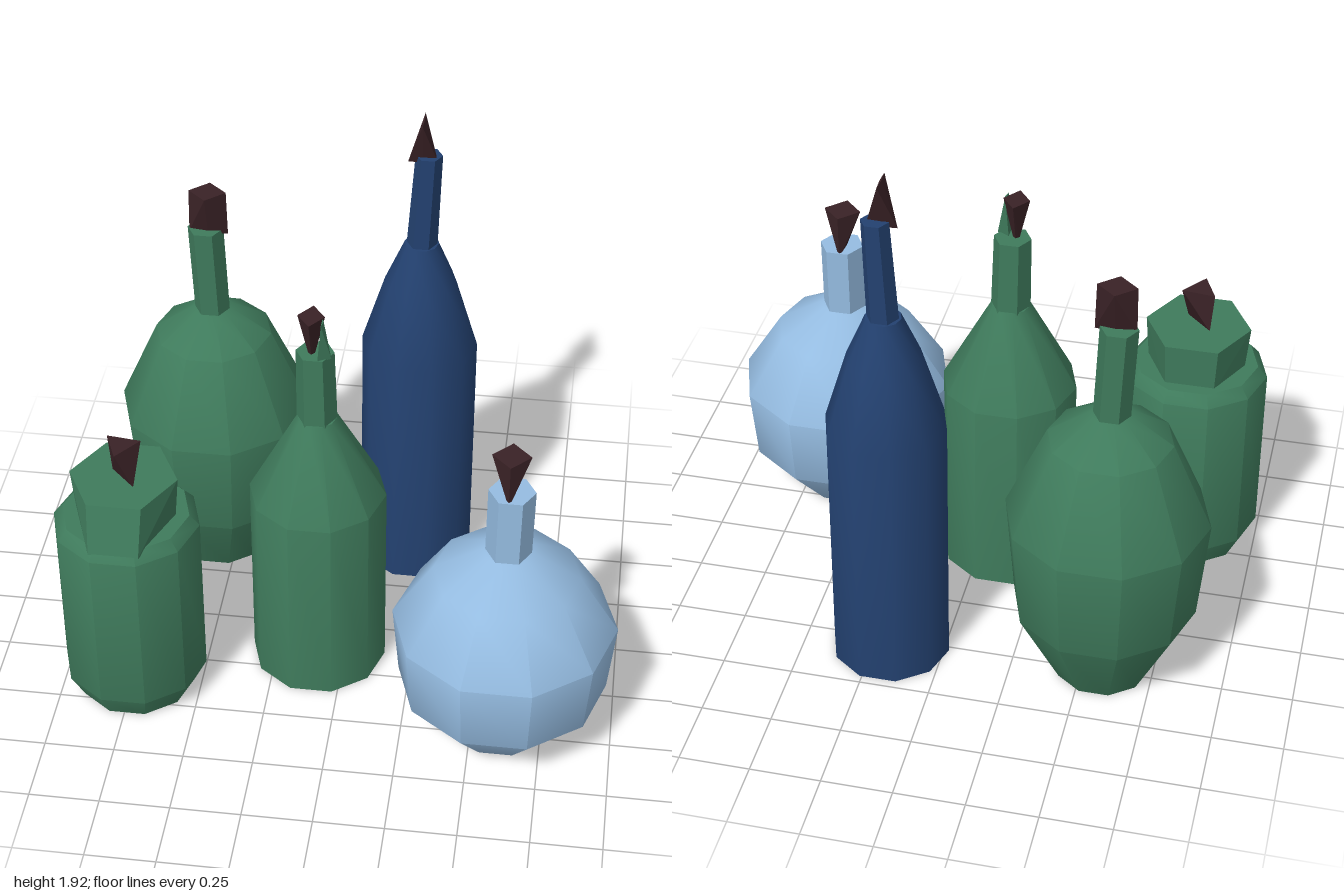
import * as THREE from 'three';
import { toCreasedNormals } from 'three/addons/utils/BufferGeometryUtils.js';
import { ConvexGeometry } from 'three/addons/geometries/ConvexGeometry.js';

const material = (name, color) => {
  const m = new THREE.MeshStandardMaterial({ color });
  m.name = name;
  return m;
};

// Points of an n-sided ring around the y axis, with its own x and z radii
const ring = (n, y, rx, rz) => Array.from({ length: n }, (_, i) => {
  const a = (i * Math.PI * 2) / n;
  return new THREE.Vector3(rx * Math.cos(a), y, rz * Math.sin(a));
});

const shift = (points, x, z) => points.map((p) => p.add(new THREE.Vector3(x, 0, z)));

function add(parent, name, geometry, mat) {
  const mesh = new THREE.Mesh(geometry, mat);
  mesh.name = name;
  parent.add(mesh);
  return mesh;
}

// Ten-sided body, profile given as [radius, y] from the base upwards
function addBody(parent, profile, mat) {
  const pts = [[0, 0], ...profile, [0, profile[profile.length - 1][1]]];
  const lathe = new THREE.LatheGeometry(pts.map(([r, y]) => new THREE.Vector2(r, y)), 10, Math.PI / 2);
  add(parent, 'body', toCreasedNormals(lathe, 0.7), mat);
}

// Rough six-sided neck, leaning sideways by lean
function addNeck(parent, y0, y1, r0, r1, lean, mat) {
  const top = shift(ring(6, y1, r1, r1), lean, 0);
  add(parent, 'neck', new ConvexGeometry([...ring(6, y0, r0, r0), ...top]), mat);
}

// Four-cornered cork, top and bottom given as half sizes [x, z]
function addCork(parent, x, z, y0, y1, bottom, top, mat) {
  const points = [...ring(4, y0, ...bottom), ...ring(4, y1, ...top)];
  add(parent, 'cork', new ConvexGeometry(points), mat).position.set(x, 0, z);
}

export function createModel() {
  const green = material('bottle green', 0x3f7b5c);
  const navy = material('navy glass', 0x234170);
  const paleBlue = material('pale blue glass', 0x95bce1);
  const corkBrown = material('dark cork', 0x3a2226);
  const model = new THREE.Group();
  model.name = 'bottles';

  function bottle(name, x, z) {
    const group = new THREE.Group();
    group.name = name;
    group.position.set(x, 0, z);
    model.add(group);
    return group;
  }

  const tall = bottle('tallNavyBottle', 0.193, -0.517);
  addBody(tall, [[0.212, 0], [0.212, 0.98], [0.13, 1.25], [0.062, 1.41]], navy);
  addNeck(tall, 1.38, 1.775, 0.056, 0.048, 0.02, navy);
  addCork(tall, 0, 0.01, 1.75, 1.92, [0.053, 0.003], [0.003, 0.05], corkBrown);

  const round = bottle('roundGreenBottle', -0.565, -0.46);
  addBody(round, [[0.17, 0], [0.322, 0.3], [0.356, 0.68], [0.215, 1], [0.07, 1.1]], green);
  addNeck(round, 1.06, 1.445, 0.064, 0.065, -0.015, green);
  addCork(round, -0.003, 0.005, 1.43, 1.6, [0.07, 0.01], [0.067, 0.06], corkBrown);

  const slim = bottle('slimGreenBottle', -0.097, 0.125);
  addBody(slim, [[0.245, 0], [0.245, 0.76], [0.07, 1.09]], green);
  addNeck(slim, 1.05, 1.365, 0.072, 0.067, -0.005, green);
  addCork(slim, -0.016, 0.008, 1.355, 1.515, [0.01, 0.01], [0.047, 0.062], corkBrown);
  // Broken shard of lip beside the cork
  const shard = [...ring(3, 1.36, 0.03, 0.03), ...ring(3, 1.51, 0.004, 0.03)];
  add(slim, 'lipShard', new ConvexGeometry(shard), green).position.set(0.025, 0, 0.03);

  const globe = bottle('globeBlueBottle', 0.6, 0.415);
  addBody(globe, [[0.19, 0], [0.37, 0.21], [0.395, 0.48], [0.255, 0.7], [0.085, 0.8]], paleBlue);
  addNeck(globe, 0.76, 1.062, 0.08, 0.081, 0.003, paleBlue);
  addCork(globe, -0.004, -0.002, 1.04, 1.21, [0.005, 0.065], [0.067, 0.068], corkBrown);

  const jar = bottle('greenJar', -0.74, 0.36);
  addBody(jar, [[0.21, 0], [0.26, 0.1], [0.26, 0.75], [0.225, 0.79]], green);
  // Wide collar, flared towards the front at its foot
  const foot = ring(6, 0.77, 0.175, 0.195);
  foot.forEach((p) => { if (p.z > 0.01) p.z += 0.06; });
  add(jar, 'collar', new ConvexGeometry([...foot, ...ring(6, 0.945, 0.19, 0.2)]), green);
  // The cork narrows to a slanting edge
  const corkTop = ring(3, 1.09, 0.07, 0.07).map((p) => p.applyAxisAngle(new THREE.Vector3(0, 1, 0), 0.4));
  const corkFoot = [-0.045, 0.045].map((d) => new THREE.Vector3(d, 0.94, d));
  add(jar, 'cork', new ConvexGeometry([...corkTop, ...corkFoot]), corkBrown).position.set(0, 0, 0.01);

  return model;
}
